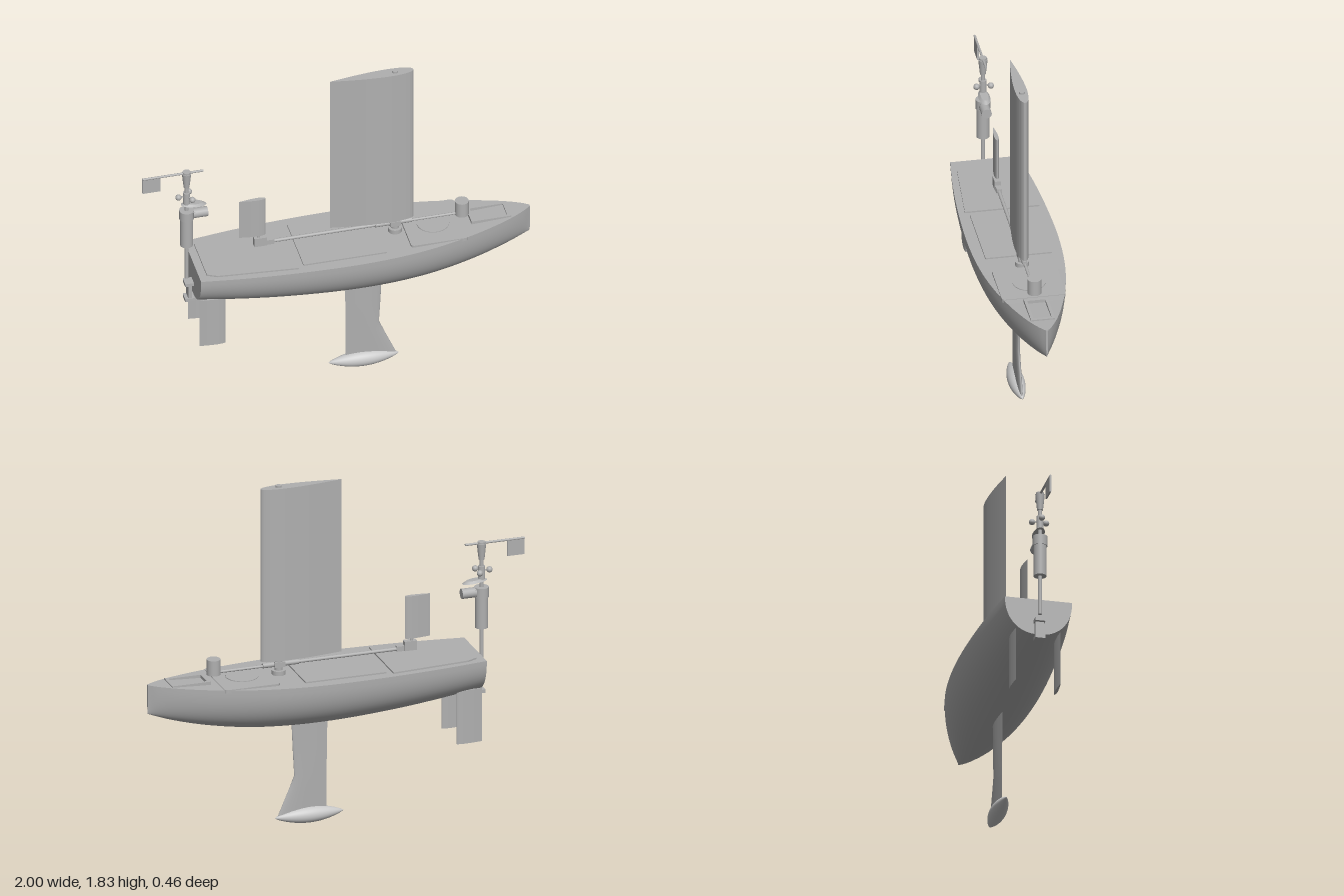
import * as THREE from 'three';

const grey = new THREE.MeshStandardMaterial({ color: 0xb0b0b0 });
grey.name = 'satin grey';
const pale = new THREE.MeshStandardMaterial({ color: 0xc8c8c8 });
pale.name = 'pale ballast grey';

export function createModel() {
  const model = new THREE.Group();

  const add = (name, geo, x = 0, y = 0, z = 0, mat = grey) => {
    const m = new THREE.Mesh(geo, mat);
    m.name = name;
    m.position.set(x, y, z);
    model.add(m);
    return m;
  };
  // Box given by its limits in x and y and its half width in z
  const box = (name, x0, x1, y0, y1, hz, z = 0) =>
    add(name, new THREE.BoxGeometry(x1 - x0, y1 - y0, hz * 2), (x0 + x1) / 2, (y0 + y1) / 2, z);
  // Upright cylinder between two heights
  const post = (name, x, y0, y1, rTop, rBottom = rTop, z = 0) =>
    add(name, new THREE.CylinderGeometry(rTop, rBottom, y1 - y0, 32), x, (y0 + y1) / 2, z);
  // Cylinder lying along x
  const rod = (name, x0, x1, y, r) =>
    add(name, new THREE.CylinderGeometry(r, r, x1 - x0, 16).rotateZ(Math.PI / 2), (x0 + x1) / 2, y);
  // Plan outline raised straight up
  const slab = (name, shape, y0, y1, x = 0, z = 0) =>
    add(name, new THREE.ExtrudeGeometry(shape, { depth: y1 - y0, bevelEnabled: false, curveSegments: 24 })
      .rotateX(-Math.PI / 2), x, y0, z);
  const outline = pts => new THREE.Shape(pts.map(p => new THREE.Vector2(p[0], p[1])));
  const rect = (x0, x1, h) => [[x0, -h], [x1, -h], [x1, h], [x0, h]];

  // Surface through equal rows of points
  const grid = rows => {
    const n = rows[0].length, index = [];
    for (let i = 0; i < rows.length - 1; i++) {
      for (let j = 0; j < n - 1; j++) {
        const a = i * n + j, c = a + n;
        index.push(a, a + 1, c, a + 1, c + 1, c);
      }
    }
    const g = new THREE.BufferGeometry();
    g.setAttribute('position', new THREE.Float32BufferAttribute(rows.flat(2), 3));
    g.setIndex(index);
    g.computeVertexNormals();
    return g;
  };

  // Wing section from trailing edge round the nose and back
  const foil = (tail, nose, half, n = 20) => {
    const pts = [];
    for (let i = 0; i <= 2 * n; i++) {
      const u = (1 + Math.cos(Math.PI * i / n)) / 2;
      const t = half * 10 * (0.2969 * Math.sqrt(u) - 0.126 * u - 0.3516 * u * u
        + 0.2843 * u ** 3 - 0.1036 * u ** 4);
      pts.push([nose + (tail - nose) * u, i <= n ? t : -t]);
    }
    return pts;
  };
  const wing = (name, tail, nose, half, y0, y1, z = 0) =>
    slab(name, outline(foil(tail, nose, half).slice(0, -1).reverse()), y0, y1, 0, z);

  // Hull: stations hold x, half beam and keel height
  const stations = new THREE.CatmullRomCurve3([
    [-0.74, 0.173, 0.622], [-0.5, 0.203, 0.592], [-0.25, 0.222, 0.568], [0.05, 0.23, 0.552],
    [0.3, 0.217, 0.553], [0.5, 0.188, 0.568], [0.7, 0.139, 0.6], [0.87, 0.079, 0.643],
    [0.96, 0.034, 0.674], [1, 0.006, 0.69],
  ].map(p => new THREE.Vector3(...p)));
  const sheer = x => 0.815 + 0.03 * Math.max(0, (x - 0.1) / 0.9) ** 2;
  const skin = [], deck = [];
  for (let i = 0; i <= 60; i++) {
    const s = stations.getPoint(i / 60), top = sheer(s.x), row = [];
    for (let j = 0; j <= 32; j++) {
      const a = Math.PI * j / 32, c = Math.cos(a);
      row.push([s.x, top - (top - s.z) * Math.sin(a) ** 0.9, s.y * Math.sign(c) * Math.abs(c) ** 0.9]);
    }
    skin.push(row);
    deck.push([[s.x, top, -s.y], [s.x, top, s.y]]);
  }
  const collapse = row => row.map(p => [p[0], sheer(p[0]), 0]);
  add('hull', grid(skin));
  add('deck', grid(deck));
  add('transom', grid([collapse(skin[0]), skin[0]]));
  add('stem', grid([skin[60], collapse(skin[60])]));

  // Raised deck panels
  slab('aftDeckPanel', outline([[-0.7, -0.13], [-0.65, -0.155], [-0.24, -0.19],
    [-0.24, 0.19], [-0.65, 0.155], [-0.7, 0.13]]), 0.813, 0.823);
  slab('midDeckPanel', outline(rect(-0.21, 0.22, 0.17)), 0.813, 0.823);
  const fore = new THREE.Shape();
  fore.moveTo(0.37, -0.163).lineTo(0.625, -0.163).quadraticCurveTo(0.645, -0.163, 0.645, -0.143)
    .lineTo(0.645, 0.143).quadraticCurveTo(0.645, 0.163, 0.625, 0.163).lineTo(0.37, 0.163)
    .quadraticCurveTo(0.35, 0.163, 0.35, 0.143).lineTo(0.35, -0.143).quadraticCurveTo(0.35, -0.163, 0.37, -0.163);
  slab('foreDeckPanel', fore, 0.81, 0.829);
  post('roundHatch', 0.5, 0.825, 0.833, 0.083);
  const coaming = outline(rect(0.685, 0.89, 0.061));
  coaming.holes.push(new THREE.Path(rect(0.702, 0.872, 0.046).map(p => new THREE.Vector2(...p))));
  slab('bowHatchFrame', coaming, 0.82, 0.845);

  // Wing sail on its mast
  wing('wingSail', -0.03, 0.4, 0.031, 0.895, 1.82);
  post('mastCap', 0.305, 1.815, 1.83, 0.015);
  post('mastFoot', 0.305, 0.81, 0.84, 0.035);
  post('mast', 0.305, 0.83, 0.9, 0.02);
  box('mastHub', 0.275, 0.33, 0.858, 0.885, 0.022);

  // Boom with counterweight forward and trim tab aft
  rod('aftBoom', -0.33, 0.24, 0.87, 0.009);
  rod('boomSleeve', 0.2, 0.39, 0.87, 0.013);
  rod('foreBoom', 0.38, 0.63, 0.867, 0.007);
  post('counterweight', 0.65, 0.858, 0.94, 0.035);
  box('tabClamp', -0.37, -0.32, 0.859, 0.886, 0.013);
  box('tabHousing', -0.425, -0.36, 0.858, 0.908, 0.016);
  post('tabPivot', -0.4, 0.9, 0.93, 0.008);
  wing('trimTab', -0.5, -0.365, 0.011, 0.92, 1.147);

  // Fin keel lofted from wing sections, with ballast bulb
  const levels = [[0.045, 0.238, 0.58], [0.048, 0.23, 0.4], [0.05, 0.222, 0.26], [0.05, 0.25, 0.19],
    [0.05, 0.31, 0.05]];
  add('keelFin', grid(levels.reverse().map(([tail, nose, y]) =>
    foil(tail, nose, 0.011).map(([x, z]) => [x, y, z]))));
  const bulb = [];
  for (let i = 0; i <= 32; i++) {
    const t = i / 32;
    bulb.push(new THREE.Vector2(0.042 * Math.sin(Math.PI * t) ** 0.75, 0.365 * t - 0.1825));
  }
  add('ballastBulb', new THREE.LatheGeometry(bulb, 32).rotateZ(-Math.PI / 2), 0.143, 0.042, 0, pale);

  // Twin rudders
  for (const side of [1, -1]) {
    wing(side > 0 ? 'leftRudder' : 'rightRudder', -0.735, -0.6, 0.008, 0.365, 0.65, side * 0.115);
  }

  // Transom bracket for the instrument pole
  box('bracketPlate', -0.768, -0.75, 0.59, 0.695, 0.022);
  box('bracketTop', -0.785, -0.735, 0.68, 0.698, 0.026);
  box('bracketBottom', -0.785, -0.735, 0.585, 0.603, 0.026);

  // Instrument pole and sensor housings
  const px = -0.772;
  post('instrumentPole', px, 0.72, 1.3, 0.01);
  post('sensorBody', px, 0.93, 1.1, 0.033);
  post('sensorCollar', px, 1.095, 1.148, 0.037);
  box('sensorArm', px, -0.73, 1.105, 1.14, 0.02);
  rod('cameraBarrel', -0.74, -0.665, 1.122, 0.026);
  add('sensorShade', new THREE.CylinderGeometry(0.02, 0.03, 0.012, 24).scale(2.2, 1, 1),
    -0.735, 1.185).rotation.z = -0.1;
  post('cupHub', px, 1.19, 1.26, 0.018);

  // Three wind cups
  for (let k = 0; k < 3; k++) {
    const a = Math.PI + k * 2 * Math.PI / 3;
    const arm = new THREE.Group();
    arm.name = 'windCup';
    const spoke = new THREE.Mesh(new THREE.BoxGeometry(0.045, 0.006, 0.006), grey);
    spoke.name = 'cupArm';
    spoke.position.x = 0.022;
    const cup = new THREE.Mesh(new THREE.SphereGeometry(0.016, 16, 10), grey);
    cup.name = 'cup';
    cup.position.x = 0.042;
    arm.add(spoke, cup);
    arm.position.set(px, 1.235, 0);
    arm.rotation.y = a;
    model.add(arm);
  }

  // Wind vane
  post('vaneBearing', px, 1.295, 1.38, 0.024, 0.015);
  rod('vaneArm', -1, -0.685, 1.382, 0.006);
  post('vaneHub', px, 1.372, 1.39, 0.02);
  box('vaneBlade', -1, -0.908, 1.295, 1.386, 0.004);
  return model;
}
